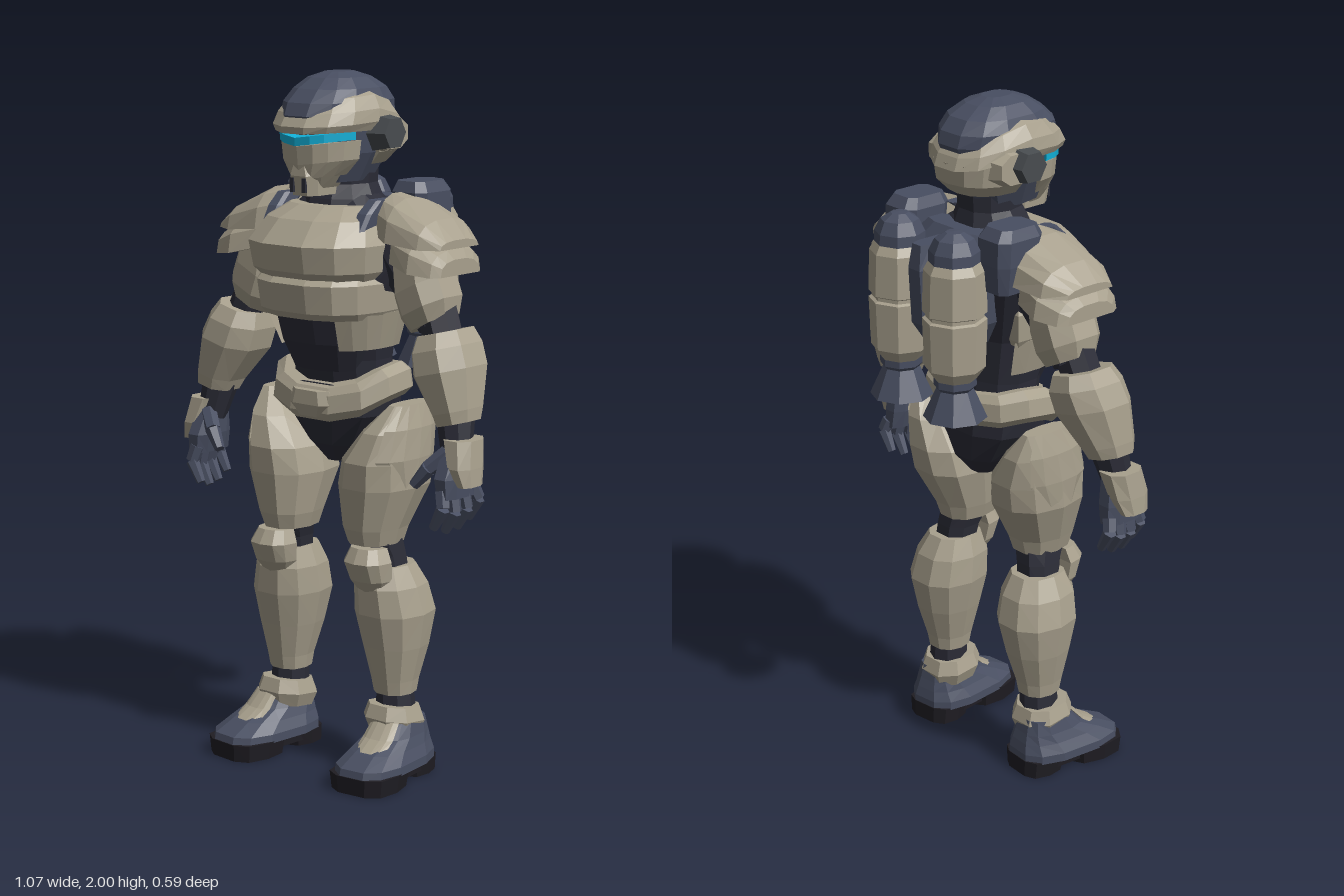
import * as THREE from 'three';

const material = (name, color) => Object.assign(new THREE.MeshStandardMaterial({ color }), { name });

// Non-indexed faceted geometry from triangles, turned to face outwards
function faceted(tris) {
  let volume = 0;
  const c = new THREE.Vector3();
  for (const [a, b, d] of tris) volume += a.dot(c.crossVectors(b, d));
  const pts = tris.flatMap(([a, b, d]) => (volume < 0 ? [a, d, b] : [a, b, d]));
  const g = new THREE.BufferGeometry().setFromPoints(pts);
  g.computeVertexNormals();
  return g;
}

// Solid through cross-sections [x, y, z, radius, radius]; angle 0 faces front (or up for axis x).
// arc limits a section to +-arc around the angle "at", p < 1 makes it boxier.
function loft(secs, { n = 10, p = 0.85, arc = 0, at = 0, axis = 'y', warp } = {}) {
  const pow = v => Math.sign(v) * Math.abs(v) ** p;
  const rings = secs.map(([x, y, z, a, b]) => Array.from({ length: n }, (_, i) => {
    const t = at + (arc ? arc * (2 * i / (n - 1) - 1) : (i + 0.5) / n * Math.PI * 2);
    const s = pow(Math.sin(t)), c = pow(Math.cos(t));
    const v = axis === 'y' ? new THREE.Vector3(x + a * s, y, z + b * c) : new THREE.Vector3(x, y + a * c, z + b * s);
    if (warp) warp(v, t);
    return v;
  }));
  const tris = [];
  const mid = r => r.reduce((m, v) => m.add(v), new THREE.Vector3()).divideScalar(n);
  const first = rings[0], last = rings[rings.length - 1], m0 = mid(first), m1 = mid(last);
  for (let i = 0; i < n; i++) {
    const j = (i + 1) % n;
    for (let k = 0; k + 1 < rings.length; k++) {
      const A = rings[k], B = rings[k + 1];
      tris.push([A[i], A[j], B[j]], [A[i], B[j], B[i]]);
    }
    tris.push([m0, first[j], first[i]], [m1, last[i], last[j]]);
  }
  return faceted(tris);
}

function flat(geometry) {
  const g = geometry.index ? geometry.toNonIndexed() : geometry;
  g.computeVertexNormals();
  return g;
}

// Straight tapered rod between two points
function rod(a, b, r1, r2, n = 6) {
  const A = new THREE.Vector3(...a), d = new THREE.Vector3(...b).sub(A);
  const g = new THREE.CylinderGeometry(r2, r1, d.length(), n);
  g.applyQuaternion(new THREE.Quaternion().setFromUnitVectors(new THREE.Vector3(0, 1, 0), d.clone().normalize()));
  return flat(g.translate(A.x + d.x / 2, A.y + d.y / 2, A.z + d.z / 2));
}

const box = (w, h, d, x, y, z) => flat(new THREE.BoxGeometry(w, h, d).translate(x, y, z));

function mirrored(g) {
  const src = g.attributes.position, pts = [];
  for (let i = 0; i < src.count; i += 3)
    for (const k of [0, 2, 1]) pts.push(new THREE.Vector3().fromBufferAttribute(src, i + k).multiply(new THREE.Vector3(-1, 1, 1)));
  const m = new THREE.BufferGeometry().setFromPoints(pts);
  m.computeVertexNormals();
  return m;
}

export function createModel() {
  const model = new THREE.Group();
  model.name = 'armouredTrooper';
  const tan = material('tan armour', 0xa8a08d), navy = material('navy gear', 0x484e61);
  const suit = material('dark undersuit', 0x2b2c37), black = material('black rubber', 0x1f1d23);
  const cyan = material('cyan visor', 0x12b2da), grey = material('grey metal', 0x484c4f);
  const add = (name, g, mat) => {
    const m = new THREE.Mesh(g, mat);
    m.name = name;
    model.add(m);
  };
  const pair = (name, g, mat) => {
    add(name + 'Left', g, mat);
    add(name + 'Right', mirrored(g), mat);
  };

  // Head
  add('neck', loft([[0, 1.56, 0.03, 0.13, 0.13], [0, 1.65, 0.025, 0.105, 0.105], [0, 1.69, 0.02, 0.085, 0.09], [0, 1.8, 0.02, 0.09, 0.1]]), suit);
  add('faceCore', loft([[0, 1.7, 0.06, 0.085, 0.11], [0, 1.78, 0.05, 0.122, 0.155], [0, 1.86, 0.05, 0.132, 0.172]]), navy);
  add('helmetShell', loft([[0, 1.835, 0.05, 0.138, 0.197], [0, 1.868, 0.05, 0.15, 0.2], [0, 1.903, 0.045, 0.146, 0.182],
    [0, 1.94, 0.04, 0.124, 0.15], [0, 1.95, 0.04, 0.1, 0.125]],
  { n: 14, warp: (v, t) => { v.y += v.y < 1.84 ? 0.06 * Math.abs(v.x) : -0.045 * Math.max(0, -Math.cos(t)) - 0.012 * Math.max(0, Math.cos(t)); } }), tan);
  add('helmetBack', loft([[0, 1.745, 0.02, 0.1, 0.12], [0, 1.78, 0.02, 0.13, 0.155], [0, 1.84, 0.03, 0.143, 0.172]],
    { n: 9, arc: 1.6, at: Math.PI }), tan);
  add('helmetCrest', loft([[0, 1.85, 0.05, 0.11, 0.17], [0, 1.885, 0.05, 0.114, 0.187], [0, 1.92, 0.047, 0.119, 0.174], [0, 1.956, 0.042, 0.104, 0.14],
    [0, 1.985, 0.045, 0.074, 0.092], [0, 2, 0.045, 0.034, 0.045]], { n: 12, p: 0.78 }), navy);
  add('visor', loft([[0, 1.803, 0.05, 0.128, 0.184], [0, 1.826, 0.05, 0.129, 0.185]],
    { n: 9, arc: 1.25, warp: v => { v.y += 0.14 * Math.abs(v.x); } }), cyan);
  add('jaw', loft([[0, 1.68, 0.09, 0.06, 0.108], [0, 1.71, 0.075, 0.085, 0.14], [0, 1.75, 0.055, 0.122, 0.167], [0, 1.802, 0.05, 0.128, 0.177]],
    { n: 9, arc: 1.35, warp: v => { v.y += 0.13 * Math.abs(v.x); } }), tan);
  add('mouthGuard', loft([[0, 1.665, 0.15, 0.046, 0.065], [0, 1.72, 0.15, 0.05, 0.075], [0, 1.765, 0.15, 0.028, 0.069]], { n: 8, p: 0.6 }), tan);
  for (const x of [-0.022, 0.022]) add('mouthVent', box(0.012, 0.04, 0.008, x, 1.695, 0.22), suit);
  pair('earPod', rod([0.12, 1.835, 0.02], [0.182, 1.835, 0.02], 0.058, 0.046, 6), grey);
  pair('earMount', loft([[0.1, 1.83, -0.01, 0.06, 0.08], [0.152, 1.83, -0.01, 0.045, 0.065]], { n: 8, axis: 'x' }), tan);

  // Torso
  add('undersuitTorso', loft([[0, 1.06, 0.02, 0.15, 0.1], [0, 1.2, 0.03, 0.155, 0.11], [0, 1.33, 0.05, 0.18, 0.14],
    [0, 1.5, 0.03, 0.24, 0.15], [0, 1.6, 0.02, 0.2, 0.12], [0, 1.66, 0.02, 0.1, 0.09]], { n: 12 }), suit);
  add('abdomen', loft([[0, 1.17, 0.04, 0.125, 0.125], [0, 1.25, 0.05, 0.155, 0.15], [0, 1.35, 0.06, 0.172, 0.165]], { n: 8, arc: 1.5 }), suit);
  add('chestPlate', loft([[0, 1.435, 0.05, 0.195, 0.205], [0, 1.46, 0.05, 0.212, 0.232], [0, 1.535, 0.05, 0.222, 0.247],
    [0, 1.6, 0.04, 0.19, 0.195], [0, 1.635, 0.035, 0.14, 0.13]], { n: 8, p: 0.75, arc: 1.6 }), tan);
  add('ribPlate', loft([[0, 1.325, 0.05, 0.185, 0.19], [0, 1.345, 0.05, 0.196, 0.212], [0, 1.425, 0.05, 0.203, 0.225], [0, 1.44, 0.05, 0.195, 0.21]],
    { n: 10, p: 0.75, arc: 1.9 }), tan);
  pair('flankPlate', loft([[0, 1.235, 0.04, 0.165, 0.16], [0, 1.34, 0.05, 0.193, 0.2]], { n: 6, arc: 0.68, at: 1.32 }), tan);
  add('belt', loft([[0, 1.105, 0.03, 0.195, 0.135], [0, 1.13, 0.03, 0.22, 0.155], [0, 1.18, 0.03, 0.213, 0.15], [0, 1.2, 0.03, 0.183, 0.135]],
    { n: 12, warp: (v, t) => { v.y -= 0.08 * Math.max(0, Math.cos(t)) + 0.03 * Math.max(0, -Math.cos(t)); } }), tan);
  add('buckle', loft([[0, 1.04, 0.14, 0.055, 0.045], [0, 1.075, 0.14, 0.085, 0.057], [0, 1.115, 0.14, 0.07, 0.053]], { n: 8, p: 0.6 }), tan);
  add('pelvis', loft([[0, 0.895, 0.02, 0.04, 0.06], [0, 0.95, 0.02, 0.095, 0.105], [0, 1.04, 0.025, 0.165, 0.13], [0, 1.13, 0.025, 0.18, 0.125]]), suit);

  // Backpack with twin thrusters
  add('packPlate', loft([[0, 1.33, -0.09, 0.1, 0.05], [0, 1.4, -0.1, 0.14, 0.06], [0, 1.6, -0.1, 0.16, 0.06], [0, 1.65, -0.08, 0.12, 0.04]], { n: 8, p: 0.5 }), navy);
  add('packSpine', loft([[0, 1.34, -0.16, 0.026, 0.05], [0, 1.4, -0.18, 0.038, 0.07], [0, 1.56, -0.19, 0.038, 0.07], [0, 1.63, -0.17, 0.028, 0.08]], { n: 8, p: 0.5 }), navy);
  const lathe = pts => flat(new THREE.LatheGeometry(pts.map(([r, y]) => new THREE.Vector2(r, y)), 8).translate(0.115, 0, -0.21));
  pair('tank', lathe([[0, 1.26], [0.06, 1.265], [0.085, 1.3], [0.09, 1.44], [0.081, 1.445], [0.081, 1.455], [0.09, 1.46], [0.086, 1.58], [0.072, 1.605], [0, 1.605]]), tan);
  pair('tankCap', lathe([[0.073, 1.59], [0.071, 1.635], [0.054, 1.67], [0.025, 1.688], [0, 1.69]]), navy);
  pair('nozzle', lathe([[0, 1.2], [0.078, 1.15], [0.09, 1.15], [0.052, 1.235], [0.06, 1.245], [0.06, 1.275], [0, 1.275]]), navy);
  pair('packShoulder', loft([[0.195, 1.52, -0.095, 0.055, 0.06], [0.195, 1.6, -0.085, 0.065, 0.08], [0.195, 1.67, -0.08, 0.065, 0.083], [0.195, 1.7, -0.075, 0.05, 0.065]],
    { n: 8, p: 0.5 }), navy);
  pair('shoulderStrap', loft([[0.165, 1.57, 0.14, 0.022, 0.035], [0.165, 1.62, 0.105, 0.025, 0.04], [0.168, 1.655, 0.06, 0.022, 0.045]], { n: 8, p: 0.5 }), navy);

  // Arms
  pair('shoulderPadUpper', loft([[0.185, 1.56, 0.005, 0.113, 0.105], [0.24, 1.545, 0.008, 0.118, 0.13], [0.35, 1.535, 0.012, 0.076, 0.122], [0.408, 1.535, 0.018, 0.024, 0.085]],
    { n: 8, arc: Math.PI / 2, axis: 'x', p: 0.8 }), tan);
  pair('shoulderPadLower', loft([[0.25, 1.49, 0.015, 0.1, 0.115], [0.33, 1.47, 0.018, 0.1, 0.135], [0.395, 1.462, 0.02, 0.07, 0.112], [0.412, 1.462, 0.02, 0.045, 0.085]],
    { n: 8, arc: Math.PI / 2, axis: 'x', p: 0.75 }), tan);
  pair('armSuit', rod([0.2, 1.53, 0.02], [0.345, 1.32, 0.025], 0.09, 0.06, 8), suit);
  pair('elbow', rod([0.335, 1.36, 0.025], [0.39, 1.22, 0.04], 0.06, 0.06, 8), suit);
  pair('upperArm', loft([[0.33, 1.31, 0.025, 0.064, 0.072], [0.318, 1.36, 0.025, 0.08, 0.093], [0.295, 1.43, 0.025, 0.08, 0.095], [0.28, 1.52, 0.025, 0.075, 0.09]],
    { n: 8, warp: v => { v.y += 0.5 * (v.x - 0.31); } }), tan);
  pair('forearm', loft([[0.45, 1.05, 0.07, 0.058, 0.066], [0.442, 1.085, 0.065, 0.066, 0.078], [0.4, 1.2, 0.045, 0.098, 0.108], [0.38, 1.265, 0.035, 0.092, 0.108], [0.37, 1.31, 0.03, 0.074, 0.087]],
    { n: 8, warp: v => { v.y += 0.25 * (v.x - 0.4); } }), tan);
  pair('wrist', rod([0.44, 1.075, 0.07], [0.46, 0.97, 0.09], 0.054, 0.042, 8), suit);
  pair('handGuard', loft([[0.515, 0.9, 0.1, 0.022, 0.045], [0.495, 0.95, 0.095, 0.04, 0.062], [0.475, 1.025, 0.08, 0.052, 0.062]], { n: 8 }), tan);
  pair('palm', loft([[0.468, 0.865, 0.098, 0.03, 0.072], [0.463, 0.92, 0.1, 0.037, 0.073], [0.46, 1.0, 0.085, 0.037, 0.047]], { n: 8, p: 0.7 }), navy);
  for (let i = 0; i < 4; i++) {
    const z = 0.042 + i * 0.037, drop = [0.025, 0.005, 0, 0.015][i], x = 0.478 - i * 0.006;
    const fan = (i - 1.5) * 0.007, knuckle = [x, 0.885, z], joint = [x + 0.012, 0.825 + drop, z + fan], tip = [x - 0.022, 0.765 + drop, z + fan];
    pair('fingerBase', rod(knuckle, joint, 0.022, 0.02), navy);
    pair('fingerTip', rod(joint, tip, 0.02, 0.013), navy);
  }
  pair('thumbBase', rod([0.45, 0.985, 0.115], [0.405, 0.94, 0.145], 0.025, 0.023), navy);
  pair('thumbTip', rod([0.405, 0.94, 0.145], [0.365, 0.89, 0.16], 0.023, 0.015), navy);

  // Legs
  pair('thigh', loft([[0.16, 0.685, 0.075, 0.07, 0.085], [0.16, 0.73, 0.075, 0.083, 0.1], [0.17, 0.85, 0.05, 0.115, 0.14],
    [0.178, 0.925, 0.045, 0.107, 0.148], [0.208, 1.01, 0.035, 0.072, 0.128], [0.235, 1.085, 0.02, 0.027, 0.08]]), tan);
  pair('hipPlate', loft([[0.205, 0.85, 0.05, 0.077, 0.08], [0.195, 0.935, 0.045, 0.093, 0.135], [0.217, 1.02, 0.03, 0.066, 0.121], [0.237, 1.085, 0.02, 0.029, 0.08]],
    { n: 6, arc: 1, at: 1.4 }), tan);
  pair('kneeJoint', loft([[0.185, 0.57, 0.045, 0.06, 0.06], [0.175, 0.65, 0.055, 0.06, 0.065], [0.162, 0.71, 0.075, 0.065, 0.08]], { n: 8 }), suit);
  pair('kneePad', loft([[0.18, 0.55, 0.09, 0.045, 0.055], [0.18, 0.585, 0.095, 0.066, 0.077], [0.178, 0.64, 0.1, 0.072, 0.095], [0.176, 0.68, 0.1, 0.055, 0.072]],
    { n: 7, arc: 1.5, p: 0.75 }), tan);
  pair('shin', loft([[0.2, 0.24, 0.035, 0.058, 0.06], [0.2, 0.28, 0.035, 0.064, 0.068], [0.198, 0.38, 0.03, 0.088, 0.095],
    [0.195, 0.48, 0.03, 0.106, 0.118], [0.188, 0.56, 0.04, 0.095, 0.11], [0.182, 0.62, 0.045, 0.07, 0.08]]), tan);
  pair('ankle', rod([0.205, 0.14, 0.035], [0.2, 0.25, 0.035], 0.06, 0.054, 8), suit);
  pair('ankleCuff', loft([[0.205, 0.125, 0.045, 0.07, 0.075], [0.205, 0.165, 0.045, 0.086, 0.09], [0.205, 0.205, 0.045, 0.073, 0.075]],
    { n: 8, warp: v => { v.y += 0.12 * (v.z - 0.045); } }), tan);

  // Boots, toes turned slightly out
  const boot = (name, g, mat) => {
    g.rotateY(0.1).translate(0.216, 0, 0);
    g.computeVertexNormals();
    pair(name, g, mat);
  };
  boot('toeSole', loft([[0, 0, 0.195, 0.096, 0.092], [0, 0.05, 0.193, 0.102, 0.098]], { p: 0.65 }), black);
  boot('heelSole', loft([[0, 0, 0.005, 0.08, 0.065], [0, 0.05, 0.01, 0.085, 0.07]], { p: 0.65 }), black);
  boot('archSole', box(0.15, 0.035, 0.14, 0, 0.034, 0.09), black);
  boot('bootUpper', loft([[0, 0.045, 0.115, 0.101, 0.175], [0, 0.07, 0.112, 0.1, 0.172], [0, 0.1, 0.085, 0.084, 0.138], [0, 0.128, 0.055, 0.073, 0.1], [0, 0.17, 0.04, 0.062, 0.075]], { n: 12, p: 0.7 }), navy);
  boot('instepPlate', loft([[0, 0.103, 0.075, 0.07, 0.14], [0, 0.13, 0.06, 0.07, 0.108], [0, 0.172, 0.04, 0.062, 0.085]], { n: 6, arc: 0.7, p: 0.75 }), tan);

  return model;
}
